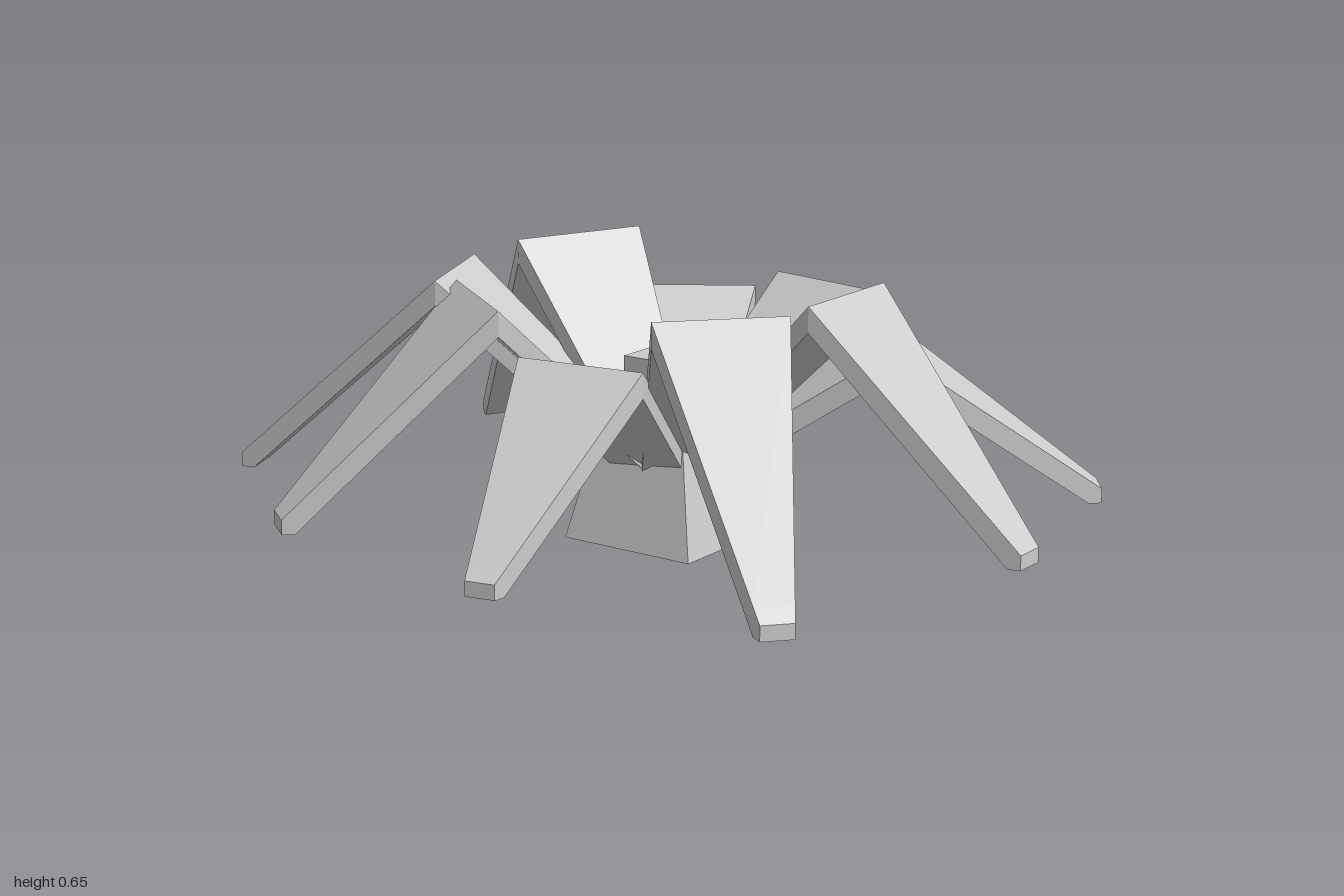
import * as THREE from 'three';

const foliage = new THREE.MeshStandardMaterial({ color: 0xcccccc, flatShading: true });
foliage.name = 'light grey';

const CX = 0.022, CZ = 0.068;   // trunk axis
const ROOT_Y = 0.15, ROOT_HALF = 0.075, THICK = 0.06;
const TIP_TOP = 0.135, TIP_BOTTOM = 0.1;

// Each leaf: knee height, knee left/right corner (x, z), tip left/right corner (x, z)
const leaves = [
  [0.645, [0.51, -0.09], [0.51, 0.225], [1.0, 0.04], [1.0, 0.12]],
  [0.49, [0.35, -0.37], [0.545, -0.075], [0.845, -0.525], [0.9, -0.45]],
  [0.54, [-0.035, -0.47], [0.255, -0.42], [0.155, -0.965], [0.23, -0.95]],
  [0.5, [-0.36, -0.275], [-0.09, -0.45], [-0.55, -0.745], [-0.475, -0.79]],
  [0.655, [-0.455, 0.045], [-0.32, -0.27], [-0.82, -0.25], [-0.78, -0.33]],
  [0.62, [-0.41, 0.41], [-0.54, 0.11], [-0.97, 0.5], [-1.0, 0.42]],
  [0.615, [-0.1, 0.555], [-0.395, 0.35], [-0.49, 0.865], [-0.56, 0.815]],
  [0.51, [0.25, 0.485], [-0.065, 0.53], [0.2, 0.945], [0.13, 0.96]],
  [0.645, [0.53, 0.325], [0.32, 0.55], [0.85, 0.78], [0.8, 0.835]],
];

// Four-cornered cross-section: top left, top right, bottom right, bottom left
const ring = (l, r, top, bottom) => [
  [l[0], top, l[1]], [r[0], top, r[1]], [r[0], bottom, r[1]], [l[0], bottom, l[1]],
];

// Bent leaf: rises from the trunk to a knee, then drops to a narrow tip
function leafGeometry([kneeY, kl, kr, tl, tr]) {
  const dx = (kl[0] + kr[0]) / 2 - CX, dz = (kl[1] + kr[1]) / 2 - CZ;
  const len = Math.hypot(dx, dz);
  const sx = -dz / len * ROOT_HALF, sz = dx / len * ROOT_HALF;
  const t = 0.94;
  const mix = (a, b) => [a[0] + (b[0] - a[0]) * t, a[1] + (b[1] - a[1]) * t];
  const rings = [
    ring([CX - sx, CZ - sz], [CX + sx, CZ + sz], ROOT_Y, ROOT_Y - THICK),
    ring(kl, kr, kneeY, kneeY - THICK),
    ring(mix(kl, tl), mix(kr, tr), kneeY + (TIP_TOP - kneeY) * t, TIP_BOTTOM),
    ring(tl, tr, TIP_TOP, TIP_BOTTOM),
  ];
  const pos = [];
  const quad = (a, b, c, d) => pos.push(...a, ...b, ...c, ...a, ...c, ...d);
  for (let i = 0; i < 3; i++) {
    const a = rings[i], b = rings[i + 1];
    for (let j = 0; j < 4; j++) quad(a[j], a[(j + 1) % 4], b[(j + 1) % 4], b[j]);
  }
  quad(...[...rings[0]].reverse());
  quad(...rings[3]);
  const g = new THREE.BufferGeometry();
  g.setAttribute('position', new THREE.Float32BufferAttribute(pos, 3));
  g.computeVertexNormals();
  return g;
}

export function createModel() {
  const group = new THREE.Group();
  group.name = 'plant';
  const add = (name, geometry) => {
    const mesh = new THREE.Mesh(geometry, foliage);
    mesh.name = name;
    group.add(mesh);
    return mesh;
  };

  // Square tapering trunk
  const trunk = new THREE.CylinderGeometry(0.105 * Math.SQRT2, 0.18 * Math.SQRT2, 0.34, 4);
  trunk.rotateY(Math.PI / 4);
  add('trunk', trunk).position.set(CX, 0.17, CZ);

  // Small block on top of the trunk
  add('trunkTop', new THREE.BoxGeometry(0.155, 0.11, 0.16)).position.set(CX, 0.385, CZ);

  // Nine drooping leaves
  leaves.forEach((leaf, i) => add(`leaf${i + 1}`, leafGeometry(leaf)));
  return group;
}
